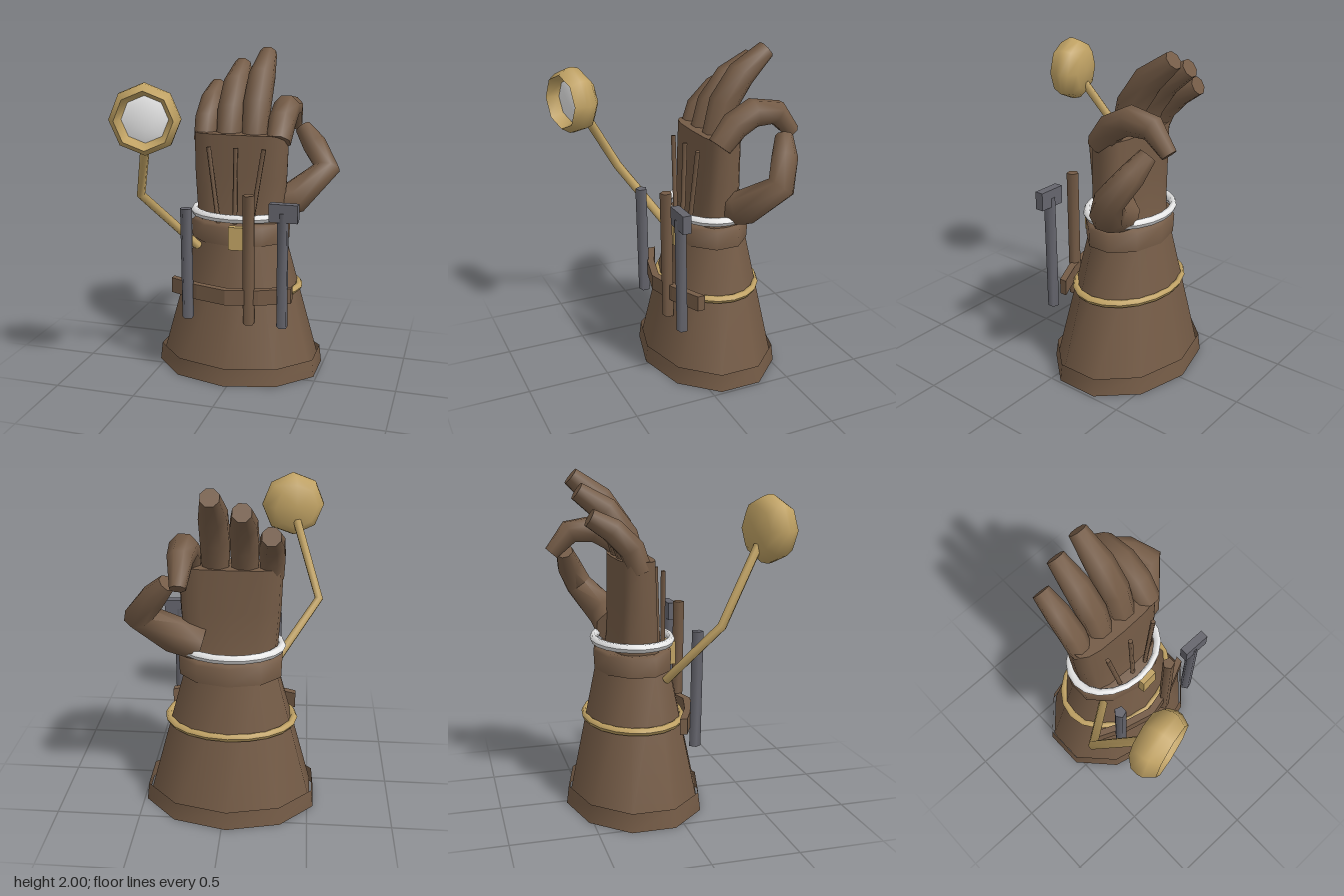
import * as THREE from 'three';
import { toCreasedNormals } from 'three/addons/utils/BufferGeometryUtils.js';

const V = (p) => new THREE.Vector3(...p);
const CREASE = 1.3;
const mat = (name, color, side = THREE.FrontSide) => {
  const m = new THREE.MeshStandardMaterial({ color, side });
  m.name = name;
  return m;
};

// Skin a list of equal-sized point rings, with optional end caps
function loft(rings, capped = true) {
  const n = rings[0].length, pos = [], idx = [];
  rings.forEach((r) => r.forEach((p) => pos.push(p.x, p.y, p.z)));
  for (let i = 0; i < rings.length - 1; i++)
    for (let j = 0; j < n; j++) {
      const k = (j + 1) % n, a = i * n + j, b = i * n + k;
      idx.push(a, b, b + n, a, b + n, a + n);
    }
  if (capped) {
    const top = (rings.length - 1) * n;
    for (let j = 1; j < n - 1; j++) idx.push(0, j + 1, j, top, top + j, top + j + 1);
  }
  const g = new THREE.BufferGeometry();
  g.setAttribute('position', new THREE.Float32BufferAttribute(pos, 3));
  g.setIndex(idx);
  return toCreasedNormals(g, CREASE);
}

// Stacked (super)ellipses: sections are [y, rx, rz, cx, cz]
function stack(sections, sides = 10, power = 1, capped = true) {
  const bend = (v) => Math.sign(v) * Math.pow(Math.abs(v), power);
  return loft(sections.map(([y, rx, rz, cx = -0.027, cz = -0.187]) =>
    Array.from({ length: sides }, (_, j) => {
      const a = (j / sides) * Math.PI * 2;
      return V([cx + rx * bend(Math.sin(a)), y, cz + rz * bend(Math.cos(a))]);
    })), capped);
}

// Tapered limb along a path: points are [x, y, z, radius]
function limb(points, sides = 8, ref = [1, 0, 0]) {
  const c = points.map((p) => V(p.slice(0, 3)));
  const dir = (i) => c[i + 1].clone().sub(c[i]).normalize();
  return loft(c.map((p, i) => {
    const t = new THREE.Vector3();
    if (i > 0) t.add(dir(i - 1));
    if (i < c.length - 1) t.add(dir(i));
    t.normalize();
    const u = V(ref).addScaledVector(t, -V(ref).dot(t)).normalize();
    const v = t.clone().cross(u);
    return Array.from({ length: sides }, (_, j) => {
      const a = ((j + 0.5) / sides) * Math.PI * 2, r = points[i][3];
      return p.clone().addScaledVector(u, r * Math.cos(a)).addScaledVector(v, r * Math.sin(a));
    });
  }));
}

// Elliptical hoop around the sleeve
function hoop(y, rx, rz, thick, high) {
  const profile = Array.from({ length: 7 }, (_, i) => {
    const a = (i / 6) * Math.PI * 2;
    return new THREE.Vector2(1 + thick * Math.cos(a), high * Math.sin(a));
  });
  return new THREE.LatheGeometry(profile, 20).scale(rx, 1, rz).translate(-0.027, y, -0.187);
}

export function createModel() {
  const group = new THREE.Group();
  const leather = mat('brown leather', 0x745b46);
  const leatherShell = mat('brown leather shell', 0x745b46, THREE.DoubleSide);
  const brass = mat('brass', 0xc0a264);
  const silver = mat('silver', 0xe6e6e6);
  const steel = mat('steel', 0x65656d);
  const lining = mat('dark lining', 0x12123a);
  const add = (name, geo, m, parent = group) => {
    const mesh = new THREE.Mesh(geo, m);
    mesh.name = name;
    parent.add(mesh);
    return mesh;
  };

  // Gauntlet sleeve, hem and wrist cuff
  add('hemBand', stack([[0, 0.536, 0.416], [0.11, 0.523, 0.402]], 10, 1, false), leatherShell);
  add('sleeve', stack([[0.04, 0.513, 0.398], [0.84, 0.29, 0.23]]), leather);
  add('sleeveOpening', new THREE.CircleGeometry(1, 10, Math.PI / 2).rotateX(Math.PI / 2)
    .scale(0.46, 1, 0.355).translate(-0.027, 0.035, -0.187), lining);
  add('wristCuff', stack([[0.84, 0.312, 0.23], [0.95, 0.316, 0.235], [0.965, 0.3, 0.222]]), leather);
  add('sleeveHoop', hoop(0.545, 0.376, 0.29, 0.06, 0.023), brass);
  add('wristHoop', hoop(1.012, 0.295, 0.23, 0.085, 0.027), silver);

  // Palm, with tendon ridges on the back of the hand
  add('palm', stack([
    [0.9, 0.265, 0.15, -0.025, -0.19], [1.02, 0.275, 0.125, -0.025, -0.19],
    [1.25, 0.29, 0.118, -0.025, -0.19], [1.5, 0.297, 0.11, -0.025, -0.195],
  ], 16, 0.6), leather);
  [[-0.19, -0.122], [-0.02, -0.02], [0.155, 0.08]].forEach(([top, low]) =>
    add('tendon', limb([[low, 0.94, -0.025, 0.015], [top, 1.43, -0.04, 0.015]], 5), leather));

  // Fingers curl backwards: points are [y, z, radius]
  const fingers = {
    littleFinger: [-0.26, [[1.44, -0.19, 0.07], [1.57, -0.24, 0.077], [1.68, -0.35, 0.073], [1.75, -0.475, 0.055]]],
    ringFinger: [-0.107, [[1.44, -0.19, 0.078], [1.63, -0.25, 0.086], [1.78, -0.36, 0.081], [1.885, -0.515, 0.055]]],
    middleFinger: [0.058, [[1.44, -0.19, 0.08], [1.67, -0.25, 0.088], [1.83, -0.36, 0.084], [1.96, -0.52, 0.055]]],
    indexFinger: [0.218, [[1.46, -0.15, 0.076], [1.575, -0.24, 0.085], [1.64, -0.36, 0.085],
      [1.625, -0.51, 0.073], [1.5, -0.62, 0.046]]],
  };
  for (const [name, [x, path]] of Object.entries(fingers))
    add(name, limb(path.map(([y, z, r]) => [x, y, z, r])), leather);
  add('thumb', limb([
    [0.14, 1.05, -0.265, 0.11], [0.3, 1.1, -0.275, 0.108], [0.468, 1.265, -0.415, 0.086],
    [0.37, 1.4, -0.49, 0.076], [0.285, 1.5, -0.53, 0.052],
  ], 8, [0, 0, 1]), leather);

  // Flat tool strap with three tools: strap outline is [x, z]
  const outer = [[-0.41, 0.045], [-0.22, 0.13], [-0.025, 0.18], [0.17, 0.13], [0.352, 0.045]];
  const outline = [...outer, ...outer.map(([x, z]) => [x, z - 0.045]).reverse()];
  const strap = new THREE.Shape(outline.map(([x, z]) => new THREE.Vector2(x, -z)));
  add('toolStrap', new THREE.ExtrudeGeometry(strap, { depth: 0.095, bevelEnabled: false })
    .rotateX(-Math.PI / 2).translate(0, 0.51, 0), leather);
  const rod = (x, top, r) => limb([[x, 0.39, 0.13, r], [x, top, 0.142, r]], 5);
  add('steelRod', rod(-0.275, 1.085, 0.037), steel);
  add('woodenRod', rod(0.113, 1.19, 0.037), leather);
  add('hammerHandle', rod(0.32, 1.1, 0.035), steel);
  add('hammerHead', new THREE.BoxGeometry(0.17, 0.108, 0.052).translate(0.325, 1.1, 0.142), steel);
  add('buckle', new THREE.BoxGeometry(0.108, 0.142, 0.045).rotateY(0.08).translate(0.023, 0.9, 0.058), brass);

  // Jointed arm carrying a round lamp
  add('lampArm', limb([
    [-0.26, 0.8, -0.04, 0.028], [-0.535, 1.165, 0.2, 0.028], [-0.385, 1.58, 0.46, 0.028],
  ], 6), brass);
  const lamp = new THREE.Group();
  lamp.name = 'lamp';
  lamp.position.set(-0.36, 1.67, 0.53);
  lamp.rotation.y = 0.26;
  group.add(lamp);
  const turned = (pts) => toCreasedNormals(
    new THREE.LatheGeometry(pts.map((p) => new THREE.Vector2(...p)), 8).rotateX(Math.PI / 2), CREASE);
  add('lampHousing', turned([
    [0, -0.095], [0.135, -0.088], [0.185, -0.045], [0.197, 0], [0.195, 0.03], [0.16, 0.088], [0.128, 0.015],
  ]), brass, lamp);
  add('lampLens', turned([[0.132, 0.015], [0.105, 0.024], [0.06, 0.033], [0, 0.037]]), silver, lamp);

  return group;
}
